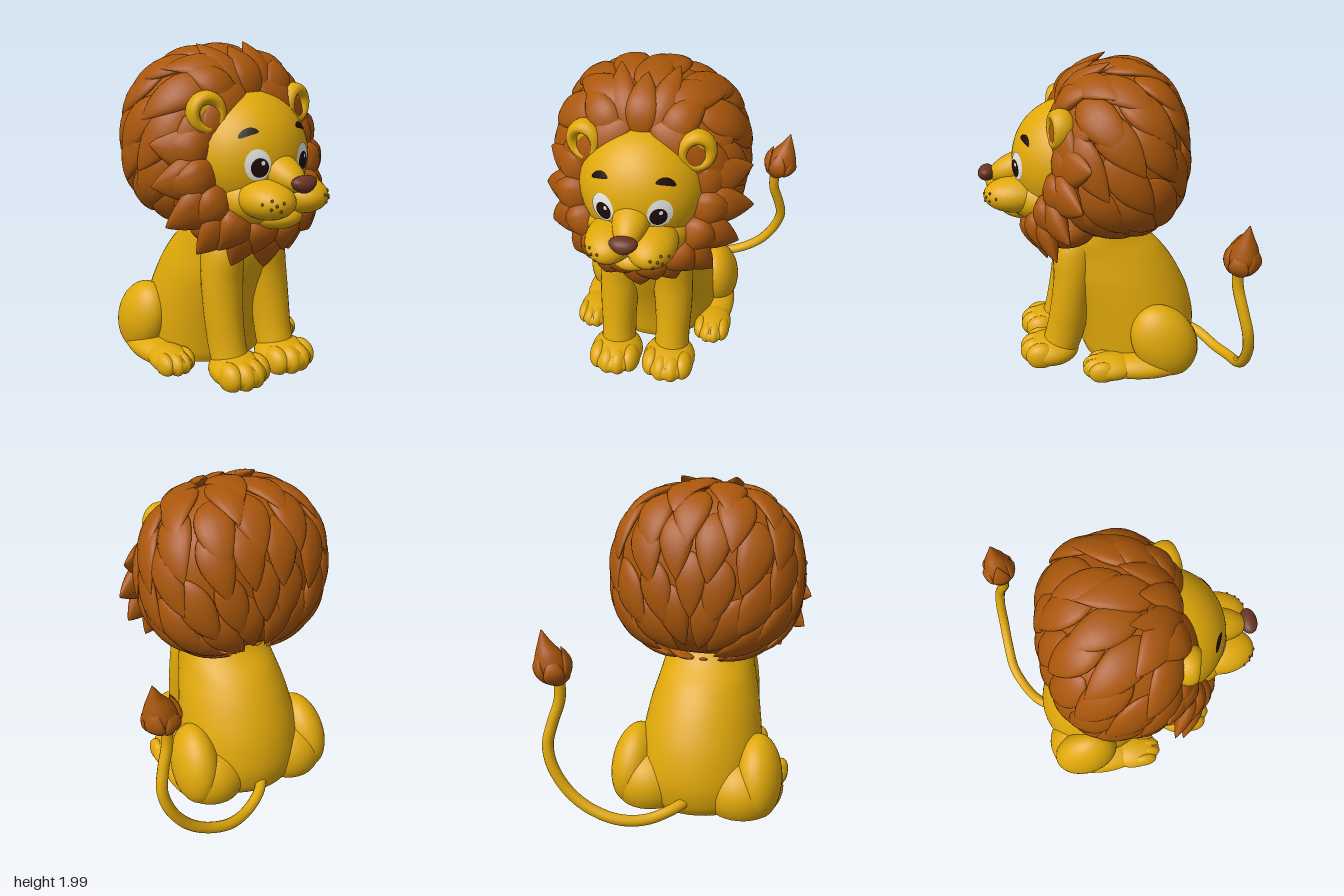
import * as THREE from 'three';
import { mergeVertices } from 'three/addons/utils/BufferGeometryUtils.js';

const mat = (name, color) => Object.assign(new THREE.MeshStandardMaterial({ color }), { name });
const fur = mat('golden fur', 0xe0a80a);
const hair = mat('brown mane', 0xa9560b);
const noseBrown = mat('nose brown', 0x6b3524);
const dark = mat('dark pupil', 0x1e0b09);
const white = mat('eye white', 0xeeeeec);
const freckleBrown = mat('freckle brown', 0x7d4c0a);
const V = (x, y, z) => new THREE.Vector3(x, y, z);

let seed = 7;
const jitter = (a) => { seed = (seed * 16807) % 2147483647; return (seed / 2147483647 * 2 - 1) * a; };

function add(parent, name, geo, material) {
  const m = new THREE.Mesh(geo, material);
  m.name = name;
  parent.add(m);
}

function smooth(g) {
  g.deleteAttribute('normal');
  g.deleteAttribute('uv');
  const out = mergeVertices(g, 1e-5);
  out.computeVertexNormals();
  return out;
}

// Move every vertex of a geometry by a rule
function warp(g, rule) {
  const p = g.attributes.position, v = V();
  for (let i = 0; i < p.count; i++) {
    rule(v.fromBufferAttribute(p, i));
    p.setXYZ(i, v.x, v.y, v.z);
  }
  return g;
}

// Ellipsoid, flattened where it meets the ground; small ones get fewer sides
function blob(parent, name, material, c, r, rotX = 0, rotZ = 0) {
  const size = Math.max(...r), n = size < 0.02 ? 8 : size < 0.1 ? 18 : 30;
  const g = new THREE.SphereGeometry(1, n, Math.round(n * 0.7))
    .scale(...r).rotateX(rotX).rotateZ(rotZ).translate(...c);
  add(parent, name, warp(g, (v) => { v.y = Math.max(v.y, 0); }), material);
}

// Smooth loft through elliptical rings [y, centreX, centreZ, radiusX, radiusZ]
function loft(rings, n = 24, m = 30) {
  const path = new THREE.CatmullRomCurve3(rings.map((r) => V(r[1], r[0], r[2])));
  const radii = new THREE.CatmullRomCurve3(rings.map((r) => V(r[3], r[4], 0)));
  const pos = [], idx = [];
  for (let i = 0; i <= n; i++) {
    const c = path.getPoint(i / n), r = radii.getPoint(i / n);
    for (let j = 0; j < m; j++) {
      const a = j / m * Math.PI * 2;
      pos.push(c.x + r.x * Math.sin(a), c.y, c.z + r.y * Math.cos(a));
      const k = (j + 1) % m, b = i * m;
      if (i < n) idx.push(b + j, b + k, b + m + j, b + k, b + m + k, b + m + j);
    }
  }
  // flat caps with their own vertices
  for (const [row, top] of [[0, false], [n, true]]) {
    const base = pos.length / 3, c = path.getPoint(row / n);
    for (let j = 0; j < m * 3; j++) pos.push(pos[row * m * 3 + j]);
    pos.push(c.x, c.y, c.z);
    for (let j = 0; j < m; j++) {
      const k = (j + 1) % m;
      idx.push(base + m, base + (top ? j : k), base + (top ? k : j));
    }
  }
  const g = new THREE.BufferGeometry();
  g.setAttribute('position', new THREE.Float32BufferAttribute(pos, 3));
  g.setIndex(idx);
  g.computeVertexNormals();
  return g;
}

// Pointed leaf of hair: x, z in -1..1, y runs 0..1 from root to tip
function leaf() {
  return warp(new THREE.SphereGeometry(1, 18, 14), (v) => {
    const r = Math.hypot(v.x, v.z) || 1, t = (v.y + 1) / 2;
    const w = Math.pow(Math.max(Math.sin(Math.PI * Math.pow(t, 0.75)), 0), 0.85);
    const x = v.x / r, z = v.z / r;
    v.set(x * w, t, z * w * (1 + 0.12 * Math.cos(9 * x)));
  });
}

// Free lock of hair between two points
function lock(parent, name, a, b, width, thick, normal, bend) {
  const y = b.clone().sub(a), len = y.length();
  y.normalize();
  const z = normal.clone().addScaledVector(y, -normal.dot(y)).normalize();
  const x = y.clone().cross(z);
  const g = warp(leaf(), (v) => {
    const { x: u, y: t, z: h } = v;
    v.copy(a).addScaledVector(x, u * width).addScaledVector(y, t * len)
      .addScaledVector(z, h * thick + bend * Math.sin(Math.PI * t));
  });
  add(parent, name, smooth(g), hair);
}

// Mane mass: a rounded-box ellipsoid, swept down and back from a pole on the crown
const maneCentre = V(0, 1.38, -0.04);
const maneRadius = (d) => Math.pow(Math.abs(d.x / 0.55) ** 2.4
  + Math.abs(d.y / (d.y > 0 ? 0.545 : 0.46)) ** 2.4 + Math.abs(d.z / 0.42) ** 2.4, -1 / 2.4);
const pole = V(0, 0.8, 0.6), sideAxis = V(1, 0, 0), upAxis = pole.clone().cross(sideAxis);

function maneLock(parent, az, polar, len, width, thick, lift) {
  const out = sideAxis.clone().multiplyScalar(Math.cos(az)).addScaledVector(upAxis, Math.sin(az));
  const across = upAxis.clone().multiplyScalar(-Math.cos(az)).addScaledVector(sideAxis, Math.sin(az));
  const g = warp(leaf(), (v) => {
    const { x, y: t, z } = v, p = polar + len * t;
    const d = pole.clone().multiplyScalar(Math.cos(p)).addScaledVector(out, Math.sin(p))
      .addScaledVector(across, x * width).normalize();
    v.copy(maneCentre).addScaledVector(d, maneRadius(d) + z * thick + lift * t);
  });
  add(parent, 'maneLock', smooth(g), hair);
}

function buildMane(lion) {
  const mane = new THREE.Group();
  mane.name = 'mane';
  lion.add(mane);
  const core = warp(new THREE.SphereGeometry(1, 40, 30), (v) => {
    const r = maneRadius(v.normalize());
    v.multiplyScalar(r).add(maneCentre);
  });
  add(mane, 'maneCore', smooth(core), hair);
  blob(mane, 'beardCore', hair, [0, 0.97, 0.28], [0.4, 0.17, 0.24]);
  // overlapping rows flowing to the nape
  for (let row = 0; row < 6; row++) {
    const polar = 0.12 + row * 0.38, n = Math.max(6, Math.round(15 * Math.sin(polar + 0.3)));
    for (let i = 0; i < n; i++) {
      const az = (i + (row % 2) / 2) / n * Math.PI * 2 + Math.PI / 2 + jitter(0.08);
      maneLock(mane, az, polar + jitter(0.1), 0.82, 0.2, 0.034, 0.045);
    }
  }
  // locks fanning out round the face, the lower ones forming the beard
  for (const [n, reach, w, front] of [[17, 0.63, 0.135, 0], [15, 0.55, 0.12, 0.05]]) {
    for (let i = 0; i < n; i++) {
      const a = (i + (front ? 0.5 : 0)) / n * Math.PI * 2, s = Math.sin(a), c = Math.cos(a);
      const low = (1 + c) / 2, R = reach + jitter(0.025);
      lock(mane, 'faceLock', V(0.27 * s, 1.33 - 0.27 * c, 0.2 + front + 0.2 * low),
        V(R * s, 1.34 - R * c - 0.05 * Math.abs(s), 0.1 + front + 0.33 * low * low),
        w, 0.06 + 0.02 * low, V(s * 0.5, -c * 0.5, 1), 0.04);
    }
  }
  // forehead tufts sweeping up and back
  for (const [x, y, z, w] of [[-0.34, 1.87, 0.1, 0.1], [0.34, 1.87, 0.1, 0.1],
    [-0.17, 1.985, 0.0, 0.09], [0.17, 1.985, 0.0, 0.09], [0, 1.97, 0.08, 0.1]]) {
    lock(mane, 'foreheadTuft', V(x * 0.35, 1.67, 0.32), V(x, y, z), w, 0.05, V(x, 0.7, 0.7), 0.05);
  }
}

// Thin elliptical plate laid on the head
const H = { y: 1.35, z: 0.25, rx: 0.38, ry: 0.385, rz: 0.36 };
function facePlate(parent, name, material, cx, cy, rx, ry, off, slope = 0, arch = 0) {
  const g = warp(new THREE.RingGeometry(0, 1, 28, 5), (v) => {
    const x = cx + v.x * rx, y = cy + v.y * ry + slope * v.x - arch * v.x * v.x;
    const q = 1 - (x / H.rx) ** 2 - ((y - H.y) / H.ry) ** 2;
    v.set(x, y, H.z + H.rz * Math.sqrt(q) + off);
  });
  g.computeVertexNormals();
  add(parent, name, g, material);
}

function buildHead(lion) {
  const head = new THREE.Group();
  head.name = 'head';
  lion.add(head);
  add(head, 'skull', new THREE.SphereGeometry(1, 56, 40).scale(H.rx, H.ry, H.rz).translate(0, H.y, H.z), fur);
  blob(head, 'noseBridge', fur, [0, 1.315, 0.54], [0.11, 0.1, 0.225], 0.3);
  blob(head, 'jaw', fur, [0, 1.14, 0.4], [0.305, 0.18, 0.27]);
  blob(head, 'chin', fur, [0, 1.05, 0.52], [0.15, 0.085, 0.18]);
  const nose = warp(new THREE.SphereGeometry(1, 28, 20), (v) => {
    v.set(v.x * 0.088 * (0.88 + 0.3 * v.y), 1.268 + v.y * 0.05, 0.77 + v.z * 0.055);
  });
  add(head, 'nose', smooth(nose), noseBrown);
  for (const s of [-1, 1]) {
    const muzzle = [s * 0.12, 1.165, 0.585], mr = [0.148, 0.112, 0.205];
    blob(head, 'muzzleCheek', fur, muzzle, mr);
    for (const [u, v] of [[0.2, 0.2], [0.55, 0.32], [0.6, -0.1], [0.3, -0.2], [0.8, 0.12], [0.45, 0.08]]) {
      const w = Math.sqrt(1 - u * u - v * v);
      blob(head, 'freckle', freckleBrown,
        [muzzle[0] + s * u * mr[0], muzzle[1] + v * mr[1], muzzle[2] + w * mr[2]], [0.009, 0.009, 0.007]);
    }
    facePlate(head, 'eyeWhite', white, s * 0.163, 1.362, 0.068, 0.088, 0.005);
    facePlate(head, 'pupil', dark, s * 0.157, 1.347, 0.047, 0.055, 0.009);
    facePlate(head, 'eyeGlint', white, s * 0.157 + 0.014, 1.374, 0.011, 0.013, 0.012);
    facePlate(head, 'eyebrow', dark, s * 0.187, 1.54, 0.053, 0.019, 0.007, -s * 0.016, 0.014);
    // ear: rolled rim around a shallow dish
    const ear = new THREE.Group();
    ear.name = 'ear';
    ear.position.set(s * 0.318, 1.63, 0.305);
    ear.rotation.y = s * 0.25;
    head.add(ear);
    add(ear, 'earRim', new THREE.TorusGeometry(0.08, 0.037, 14, 32).scale(1, 1.08, 1.7), fur);
    add(ear, 'earDish', new THREE.SphereGeometry(1, 24, 12).scale(0.085, 0.09, 0.03), fur);
  }
}

function paw(parent, name, x, z, w, h, l) {
  const g = new THREE.Group();
  g.name = name;
  parent.add(g);
  blob(g, 'pawBody', fur, [x, h * 0.4, z], [w, h * 0.6, l * 0.97]);
  for (const k of [-1.5, -0.5, 0.5, 1.5]) {
    blob(g, 'toe', fur, [x + k * w * 0.4, h * 0.4, z + l * (0.5 - 0.09 * k * k)],
      [w * 0.38, h * 0.53, l * 0.5]);
  }
}

function buildBody(lion) {
  // torso rings: height, front z, back z, half width
  const torso = [[0, 0.17, -0.53, 0.37], [0.06, 0.19, -0.565, 0.395], [0.2, 0.21, -0.585, 0.4],
    [0.4, 0.26, -0.545, 0.38], [0.6, 0.33, -0.45, 0.345], [0.75, 0.37, -0.34, 0.305],
    [0.87, 0.37, -0.2, 0.28], [1.02, 0.3, -0.12, 0.24]];
  add(lion, 'torso', loft(torso.map(([y, f, b, w]) => [y, 0, (f + b) / 2, w, (f - b) / 2]), 30, 44), fur);
  for (const s of [-1, 1]) {
    const leg = [[0.04, 0.18, 0.36, 0.115, 0.13], [0.2, 0.182, 0.305, 0.112, 0.13],
      [0.4, 0.182, 0.27, 0.12, 0.125], [0.6, 0.172, 0.245, 0.13, 0.125],
      [0.8, 0.15, 0.22, 0.13, 0.145], [0.97, 0.12, 0.15, 0.1, 0.12]];
    add(lion, 'frontLeg', loft(leg.map(([y, x, ...r]) => [y, s * x, ...r])), fur);
    paw(lion, 'frontPaw', s * 0.178, 0.41, 0.172, 0.17, 0.2);
    blob(lion, 'haunch', fur, [s * 0.395, 0.215, -0.33], [0.145, 0.26, 0.205], 0.5, s * 0.1);
    blob(lion, 'rump', fur, [s * 0.29, 0.12, -0.35], [0.23, 0.22, 0.225]);
    blob(lion, 'hindLeg', fur, [s * 0.41, 0.05, -0.2], [0.125, 0.085, 0.28]);
    paw(lion, 'hindPaw', s * 0.415, 0.02, 0.125, 0.135, 0.185);
  }
}

function buildTail(parent) {
  const tail = new THREE.Group();
  tail.name = 'tail';
  parent.add(tail);
  const path = new THREE.CatmullRomCurve3([[-0.13, 0.11, -0.5], [-0.04, 0.08, -0.62], [0.1, 0.045, -0.71],
    [0.25, 0.06, -0.77], [0.42, 0.12, -0.785], [0.55, 0.22, -0.785], [0.645, 0.37, -0.78],
    [0.675, 0.5, -0.76], [0.65, 0.63, -0.73], [0.61, 0.77, -0.7], [0.61, 0.91, -0.69]].map((p) => V(...p)));
  add(tail, 'tailTube', new THREE.TubeGeometry(path, 64, 0.034, 14), fur);
  add(tail, 'tailTuft', loft([[0.86, 0.615, -0.695, 0.03, 0.03], [0.91, 0.63, -0.7, 0.09, 0.08],
    [0.98, 0.645, -0.705, 0.1, 0.092], [1.05, 0.655, -0.71, 0.08, 0.075],
    [1.12, 0.675, -0.715, 0.04, 0.038], [1.195, 0.69, -0.72, 0.003, 0.003]]), hair);
  for (let i = 0; i < 5; i++) {
    const a = i / 5 * Math.PI * 2 + 0.5, c = Math.cos(a), s = Math.sin(a);
    lock(tail, 'tuftLock', V(0.63 + c * 0.045, 0.87, -0.7 + s * 0.045),
      V(0.65 + c * 0.065, 1.05 + 0.025 * (i % 3), -0.71 + s * 0.055), 0.06, 0.025, V(c, 0, s), 0.035);
  }
}

export function createModel() {
  const root = new THREE.Group();
  root.name = 'sittingLion';
  const lion = new THREE.Group();
  lion.name = 'lion';
  lion.position.x = -0.12;
  root.add(lion);
  buildBody(lion);
  buildHead(lion);
  buildMane(lion);
  buildTail(root);
  return root;
}
